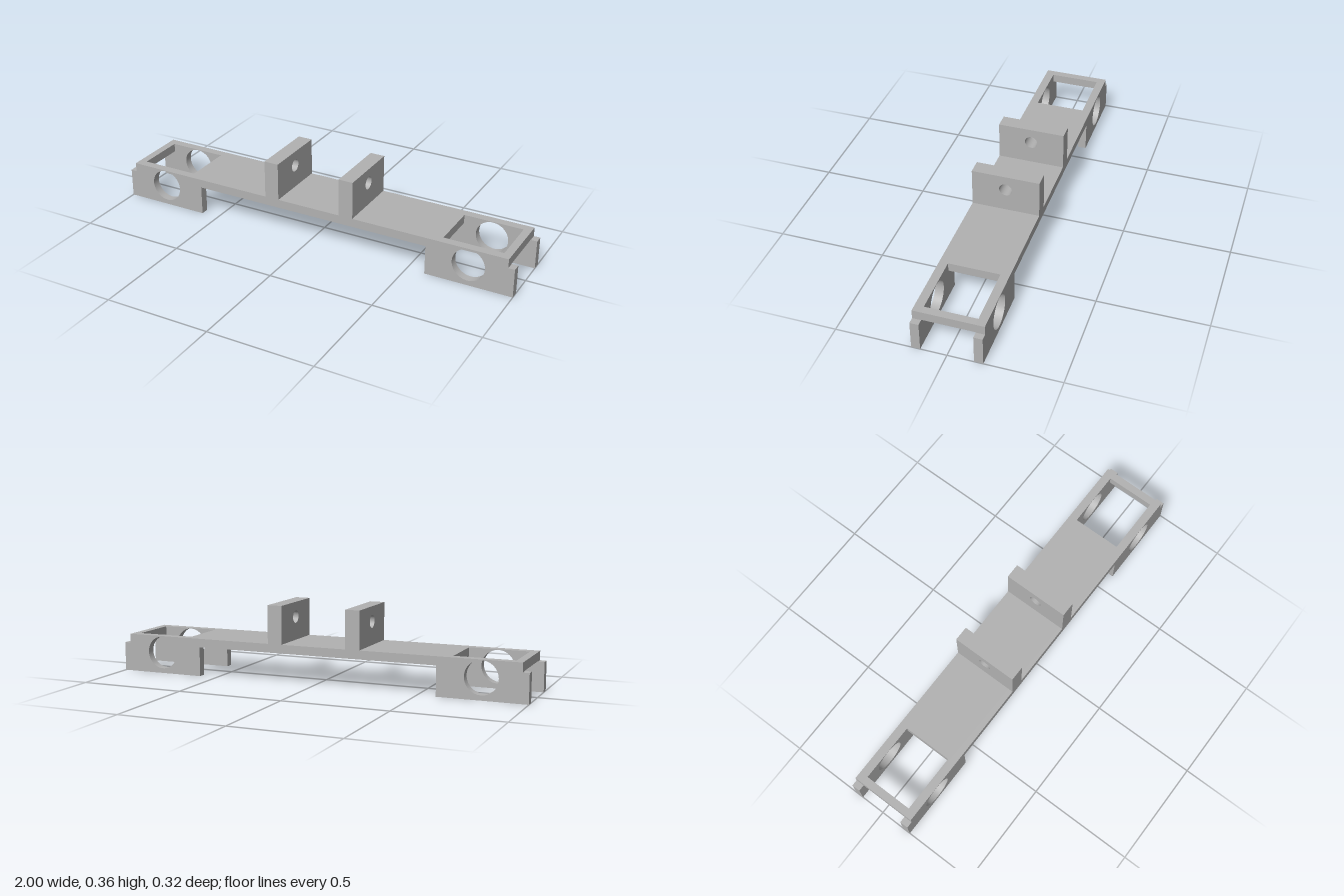
import * as THREE from 'three';

const HALF_DEPTH = 0.158, INNER = 0.118, DECK_LOW = 0.139, DECK_TOP = 0.18;

export function createModel() {
  const group = new THREE.Group();
  const grey = new THREE.MeshStandardMaterial({ color: 0xb2b2b2 });
  grey.name = 'plain grey';

  const add = (name, geometry, x = 0, y = 0, z = 0) => {
    const mesh = new THREE.Mesh(geometry, grey);
    mesh.name = name;
    mesh.position.set(x, y, z);
    group.add(mesh);
  };
  const polygon = (points) => new THREE.Shape(points.map(([x, y]) => new THREE.Vector2(x, y)));
  const hole = (shape, x, y, r) => {
    const path = new THREE.Path();
    path.absarc(x, y, r, 0, Math.PI * 2, true);
    shape.holes.push(path);
  };
  const extrude = (shape, depth) =>
    new THREE.ExtrudeGeometry(shape, { depth, bevelEnabled: false, curveSegments: 48 });

  // Side rails: deck edge and hanging cheeks in one profile, bored at both ends
  const half = [[0.587, DECK_LOW], [0.587, 0], [1, 0], [1, 0.137], [0.97, 0.137], [0.97, DECK_TOP]];
  const mirrored = half.map(([x, y]) => [-x, y]).reverse();
  const rail = polygon([...half, ...mirrored]);
  for (const s of [-1, 1]) hole(rail, s * 0.79, 0.1, 0.077);
  const railGeometry = extrude(rail, HALF_DEPTH - INNER);
  add('frontRail', railGeometry, 0, 0, INNER);
  add('backRail', railGeometry, 0, 0, -HALF_DEPTH);

  // Deck between the rails, leaving an open window near each end
  const deckHeight = DECK_TOP - DECK_LOW, deckY = (DECK_TOP + DECK_LOW) / 2;
  add('deck', new THREE.BoxGeometry(1.306, deckHeight, INNER * 2), 0, deckY);

  // Upright lug with a cross bore
  const lug = polygon([[-HALF_DEPTH, DECK_TOP], [HALF_DEPTH, DECK_TOP], [HALF_DEPTH, 0.36], [-HALF_DEPTH, 0.36]]);
  hole(lug, 0, 0.29, 0.03);
  const lugGeometry = extrude(lug, 0.07).translate(0, 0, -0.035).rotateY(Math.PI / 2);

  for (const [side, s] of [['left', 1], ['right', -1]]) {
    add(side + 'EndBar', new THREE.BoxGeometry(0.036, deckHeight, INNER * 2), s * 0.952, deckY);
    add(side + 'Lug', lugGeometry, s * 0.192);
  }
  return group;
}
